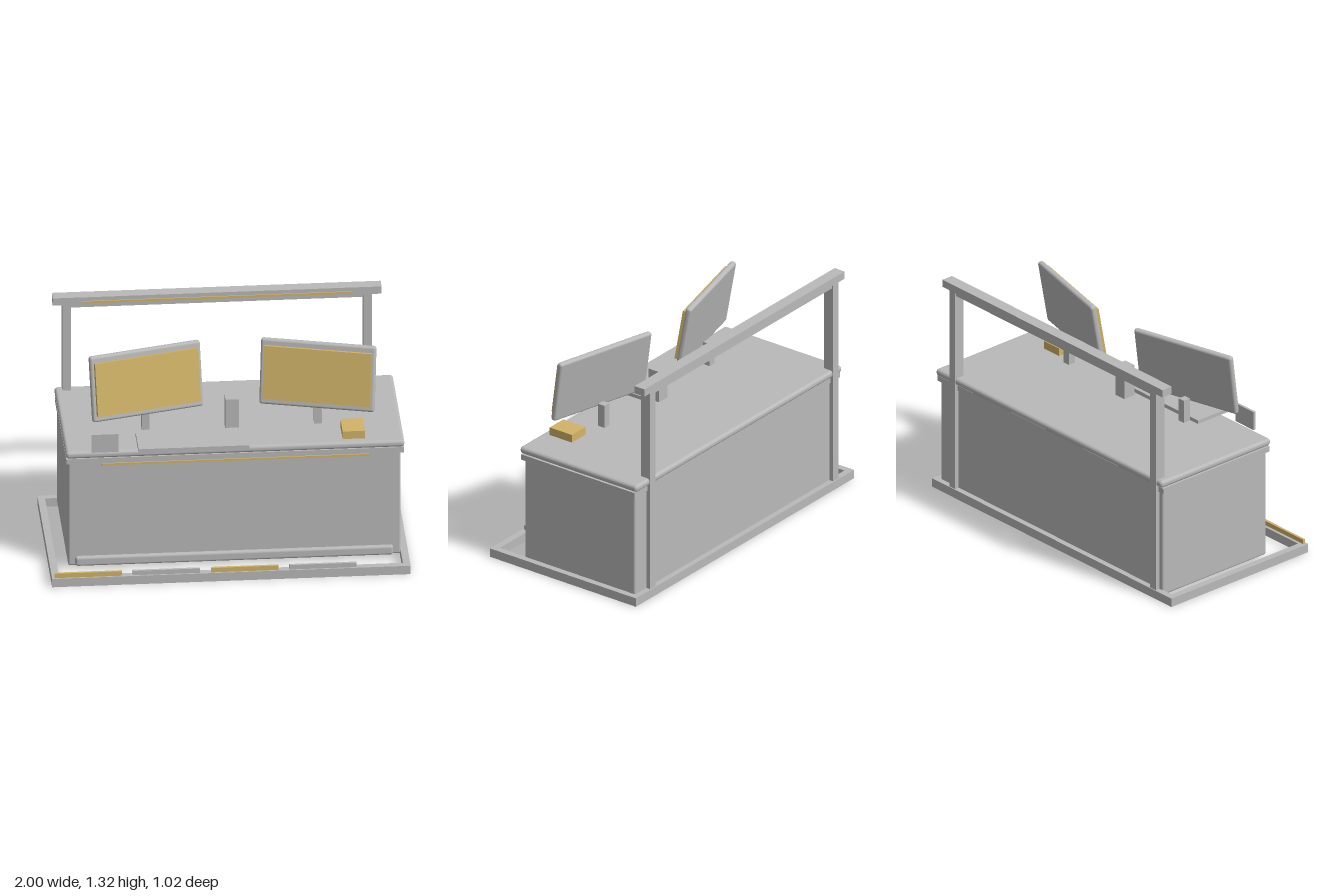
import * as THREE from 'three';
import { RoundedBoxGeometry } from 'three/addons/geometries/RoundedBoxGeometry.js';

const gray = new THREE.MeshStandardMaterial({ color: 0xb9b9b9 });
gray.name = 'panelGray';
const gold = new THREE.MeshStandardMaterial({ color: 0xd2b468 });
gold.name = 'lightGold';

// Box given by its extents on each axis; a radius rounds its edges
function block(parent, name, mat, [x0, x1], [y0, y1], [z0, z1], radius = 0) {
  const size = [x1 - x0, y1 - y0, z1 - z0];
  const geometry = radius
    ? new RoundedBoxGeometry(...size, 3, radius)
    : new THREE.BoxGeometry(...size);
  const mesh = new THREE.Mesh(geometry, mat);
  mesh.name = name;
  mesh.position.set((x0 + x1) / 2, (y0 + y1) / 2, (z0 + z1) / 2);
  parent.add(mesh);
  return mesh;
}

// Display tilted back and turned towards the middle of the desk
function makeMonitor(name, x, yaw) {
  const monitor = new THREE.Group();
  monitor.name = name;
  block(monitor, 'monitorCase', gray, [-0.325, 0.325], [-0.192, 0.192], [-0.018, 0.018], 0.015);
  block(monitor, 'screen', gold, [-0.303, 0.303], [-0.155, 0.155], [0.016, 0.038]);
  monitor.position.set(x, 1.057, 0.1);
  monitor.rotation.set(-0.165, yaw, 0, 'YXZ');
  return monitor;
}

export function createModel() {
  const model = new THREE.Group();
  model.name = 'controlDesk';

  // Floor frame
  const frame = new THREE.Group();
  frame.name = 'floorFrame';
  model.add(frame);
  const frameY = [0, 0.052];
  block(frame, 'frontRail', gray, [-1, 1], frameY, [0.47, 0.51]);
  block(frame, 'backRail', gray, [-1, 1], frameY, [-0.51, -0.472]);
  for (const s of [-1, 1]) {
    const x = s * 0.98;
    block(frame, 'sideRail', gray, [x - 0.02, x + 0.02], frameY, [-0.472, 0.47]);
  }

  // Alternating segments along the front rail
  for (let i = 0; i < 4; i++) {
    const x = -0.985 + i * 0.4365;
    block(frame, 'floorSegment', i % 2 ? gray : gold, [x, x + 0.375], [0.052, 0.079], [0.486, 0.501]);
  }

  // Cabinet and worktop
  block(model, 'cabinet', gray, [-0.893, 0.963], [0.02, 0.67], [-0.477, 0.295], 0.012);
  block(model, 'toeBoard', gray, [-0.854, 0.92], [0.022, 0.08], [0.275, 0.315], 0.015);
  block(model, 'apron', gray, [-0.905, 0.98], [0.659, 0.692], [-0.485, 0.308]);
  block(model, 'worktop', gray, [-0.907, 0.982], [0.695, 0.737], [-0.5, 0.318], 0.018);
  block(model, 'underDeskLight', gold, [-0.71, 0.785], [0.649, 0.66], [0.302, 0.314]);

  // Rear gantry
  const gantry = new THREE.Group();
  gantry.name = 'gantry';
  model.add(gantry);
  for (const x of [-0.841, 0.837]) {
    block(gantry, 'post', gray, [x - 0.024, x + 0.024], [0.04, 1.275], [-0.504, -0.441]);
  }
  block(gantry, 'topBeam', gray, [-0.92, 0.915], [1.273, 1.318], [-0.506, -0.436]);
  block(gantry, 'lowerBeam', gray, [-0.83, 0.83], [1.25, 1.274], [-0.495, -0.45]);
  block(gantry, 'beamLight', gold, [-0.76, 0.755], [1.283, 1.295], [-0.445, -0.43]);

  // Monitors and their stands
  model.add(makeMonitor('rightMonitor', -0.444, 0.25));
  model.add(makeMonitor('leftMonitor', 0.516, -0.25));
  for (const x of [-0.445, 0.517]) {
    block(model, 'monitorStand', gray, [x - 0.022, x + 0.022], [0.755, 0.892], [0.06, 0.105]);
  }

  // Items on the worktop
  block(model, 'centrePost', gray, [0, 0.075], [0.735, 0.925], [0.033, 0.108]);
  block(model, 'keyboard', gray, [-0.505, 0.115], [0.739, 0.761], [0.13, 0.352]);
  block(model, 'frontCard', gray, [-0.765, -0.615], [0.737, 0.848], [0.313, 0.327]);
  block(model, 'goldBox', gold, [0.64, 0.765], [0.735, 0.784], [0.117, 0.272]);

  return model;
}
